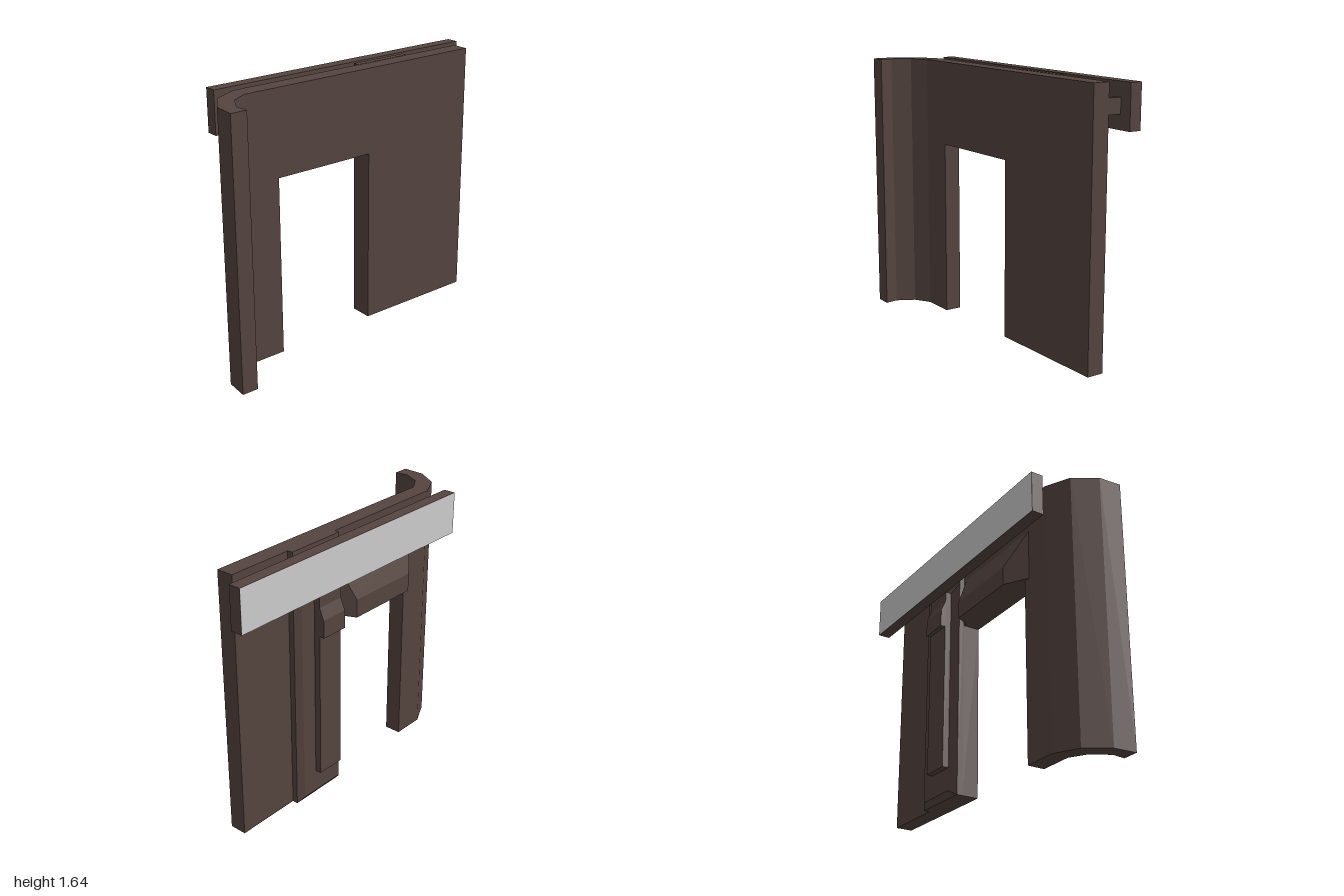
import * as THREE from 'three';

const dark = new THREE.MeshStandardMaterial({ color: 0x54443f, flatShading: true });
const grey = new THREE.MeshStandardMaterial({ color: 0xcccccc, flatShading: true });

// Box from its limits on each axis
function box(name, [x0, x1], [y0, y1], [z0, z1]) {
  const mesh = new THREE.Mesh(new THREE.BoxGeometry(x1 - x0, y1 - y0, z1 - z0), dark);
  mesh.position.set((x0 + x1) / 2, (y0 + y1) / 2, (z0 + z1) / 2);
  mesh.name = name;
  return mesh;
}

// Upright prism from a plan outline of [x, z] points
function prism(name, plan, y0, y1) {
  const shape = new THREE.Shape(plan.map(([x, z]) => new THREE.Vector2(x, -z)));
  const geo = new THREE.ExtrudeGeometry(shape, { depth: y1 - y0, bevelEnabled: false });
  geo.rotateX(-Math.PI / 2);
  geo.translate(0, y0, 0);
  const mesh = new THREE.Mesh(geo, dark);
  mesh.name = name;
  return mesh;
}

// Raised block on the rear: a base rectangle at zBase tapering to a smaller one
// at zTip; rectangles are [x0, x1, y0, y1]
function raised(name, base, zBase, tip, zTip) {
  const geo = new THREE.BoxGeometry(1, 1, 1);
  const p = geo.attributes.position;
  for (let i = 0; i < p.count; i++) {
    const rear = p.getZ(i) < 0;
    const r = rear ? tip : base;
    p.setXYZ(i, r[p.getX(i) < 0 ? 0 : 1], r[p.getY(i) < 0 ? 2 : 3], rear ? zTip : zBase);
  }
  geo.computeVertexNormals();
  const mesh = new THREE.Mesh(geo, dark);
  mesh.name = name;
  return mesh;
}

export function createModel() {
  const model = new THREE.Group();
  model.name = 'doorwayWall';

  // Flat wall with the doorway cut out
  const outline = new THREE.Shape([
    [-0.75, 0], [-0.54, 0], [-0.54, 1.11], [0.12, 1.11],
    [0.12, 0.015], [0.91, 0.015], [0.91, 1.635], [-0.75, 1.635],
  ].map(([x, y]) => new THREE.Vector2(x, y)));
  const wallGeo = new THREE.ExtrudeGeometry(outline, { depth: 0.105, bevelEnabled: false });
  wallGeo.translate(0, 0, -0.105);
  const wall = new THREE.Mesh(wallGeo, dark);
  wall.name = 'wall';
  model.add(wall);

  // Faceted corner curling forward
  model.add(prism('curvedCorner', [
    [-0.75, 0], [-0.85, 0.06], [-0.91, 0.17], [-0.9, 0.25],
    [-1, 0.25], [-0.99, 0.11], [-0.9, -0.03], [-0.75, -0.105],
  ], 0, 1.635));

  // Rear pillar beside the doorway, with a chamfered panel
  model.add(box('pillar', [0.12, 0.5], [0.015, 1.637], [-0.14, -0.1]));
  model.add(raised('pillarPanel', [0.12, 0.5, 0.015, 1.395], -0.14, [0.18, 0.46, 0.05, 1.35], -0.166));

  // Strip on the pillar and its sloped catch
  model.add(box('pillarStrip', [0.18, 0.36], [0.19, 1.345], [-0.205, -0.16]));
  model.add(raised('stripCatch', [0.18, 0.36, 1.105, 1.28], -0.205, [0.18, 0.36, 1.1, 1.21], -0.235));

  // Hood above the doorway, sloping out and down
  model.add(raised('doorHood', [-0.59, 0.1, 1.11, 1.43], -0.1, [-0.46, 0.03, 1.097, 1.21], -0.2));

  // Rail along the top rear, with its pale rear face
  model.add(box('rail', [-0.83, 1], [1.375, 1.635], [-0.25, -0.175]));
  const face = new THREE.Mesh(new THREE.PlaneGeometry(1.83, 0.26), grey);
  face.rotation.y = Math.PI;
  face.position.set(0.085, 1.505, -0.2515);
  face.name = 'railRearFace';
  model.add(face);

  // Slanted bracket holding the rail
  model.add(prism('railBracket', [
    [0.87, -0.1], [0.908, -0.1], [0.925, -0.178], [0.885, -0.178],
  ], 1.46, 1.55));

  return model;
}
